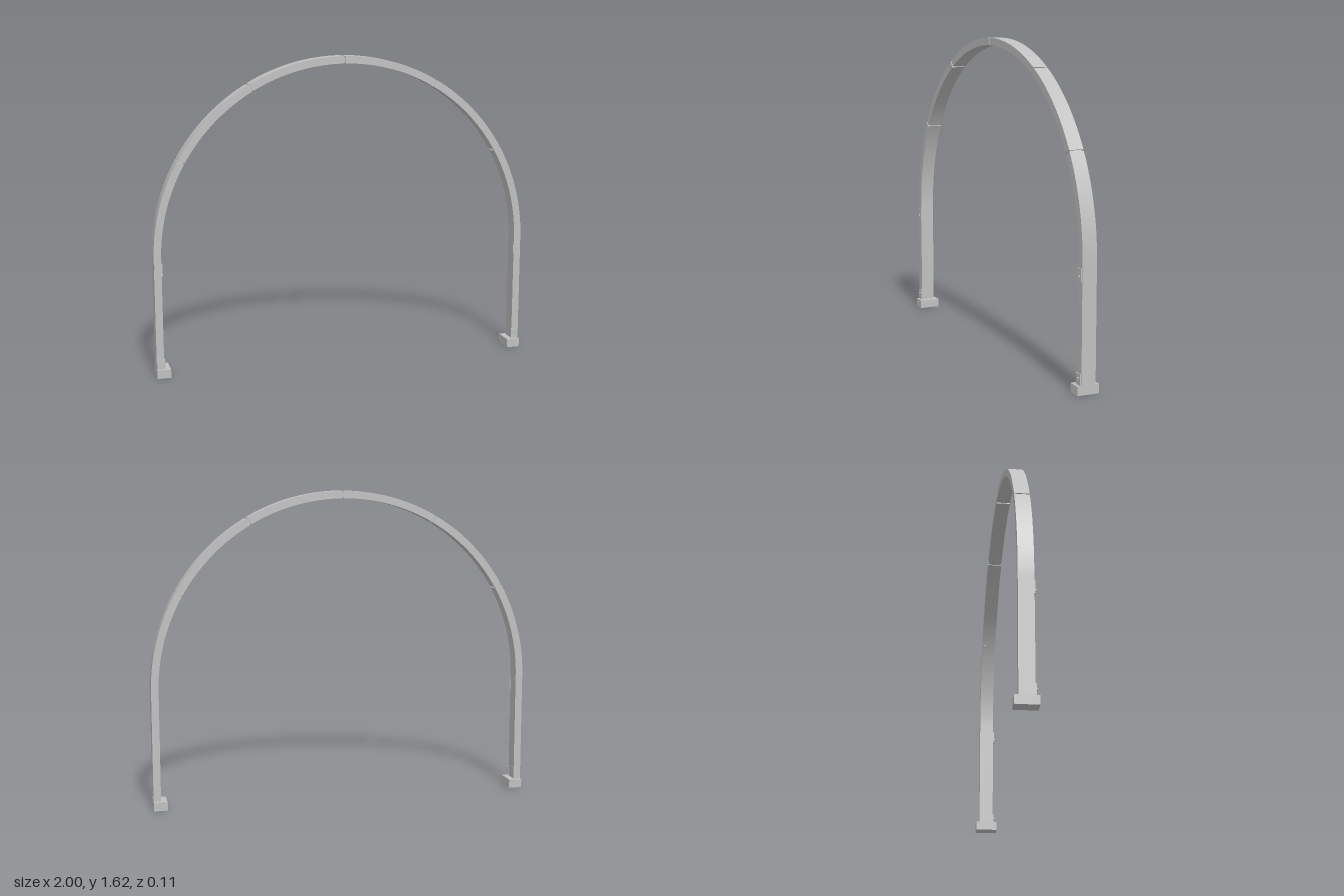
import * as THREE from 'three';

const OUTER = 1, INNER = 0.962, SPRING = 0.62, DEPTH = 0.075, FOOT_H = 0.045;

export function createModel() {
  const model = new THREE.Group();
  model.name = 'archFrame';
  const steel = new THREE.MeshStandardMaterial({ color: 0xc0c0c0 });
  steel.name = 'light grey metal';

  const add = (name, geometry, x = 0, y = 0, z = 0) => {
    const mesh = new THREE.Mesh(geometry, steel);
    mesh.name = name;
    mesh.position.set(x, y, z);
    model.add(mesh);
    return mesh;
  };

  // Curved bar between two angles, centred on z = 0
  const arcBar = (from, to, inner, outer, depth, steps) => {
    const shape = new THREE.Shape();
    shape.absarc(0, 0, outer, from, to, false);
    shape.absarc(0, 0, inner, to, from, true);
    shape.closePath();
    const g = new THREE.ExtrudeGeometry(shape, { depth, bevelEnabled: false, curveSegments: steps });
    return g.translate(0, 0, -depth / 2);
  };

  // Six arch segments with narrow gaps at the joints
  const step = Math.PI / 6, gap = 0.004;
  for (let i = 0; i < 6; i++) {
    const from = i * step + (i === 0 ? 0 : gap);
    const to = (i + 1) * step - (i === 5 ? 0 : gap);
    add('archSegment' + (i + 1), arcBar(from, to, INNER, OUTER, DEPTH, 16), 0, SPRING);
  }

  // Recessed splice cores bridging the joints
  for (let i = 1; i < 6; i++) {
    const a = i * step;
    add('jointCore' + i, arcBar(a - 0.006, a + 0.006, INNER + 0.005, OUTER - 0.005, DEPTH - 0.01, 2), 0, SPRING);
  }

  // Legs, feet and front brackets, mirrored left and right
  for (const [side, s] of [['left', 1], ['right', -1]]) {
    const legX = s * (OUTER + INNER) / 2, legH = SPRING - FOOT_H;
    add(side + 'Leg', new THREE.BoxGeometry(OUTER - INNER, legH, DEPTH), legX, FOOT_H + legH / 2);
    add(side + 'Foot', new THREE.BoxGeometry(0.07, FOOT_H, 0.114), s * 0.965, FOOT_H / 2);

    for (const [level, y, h] of [['upper', 0.563, 0.062], ['lower', 0.073, 0.056]]) {
      add(side + level + 'BracketPlate', new THREE.BoxGeometry(0.039, h, 0.006), s * 0.9765, y, DEPTH / 2 + 0.002);
      const bolt = new THREE.CylinderGeometry(0.006, 0.006, 0.008, 12).rotateX(Math.PI / 2);
      add(side + level + 'BracketBolt', bolt, s * 0.978, y - 0.008 + (level === 'lower' ? 0.014 : 0), DEPTH / 2 + 0.008);
    }
  }
  return model;
}
